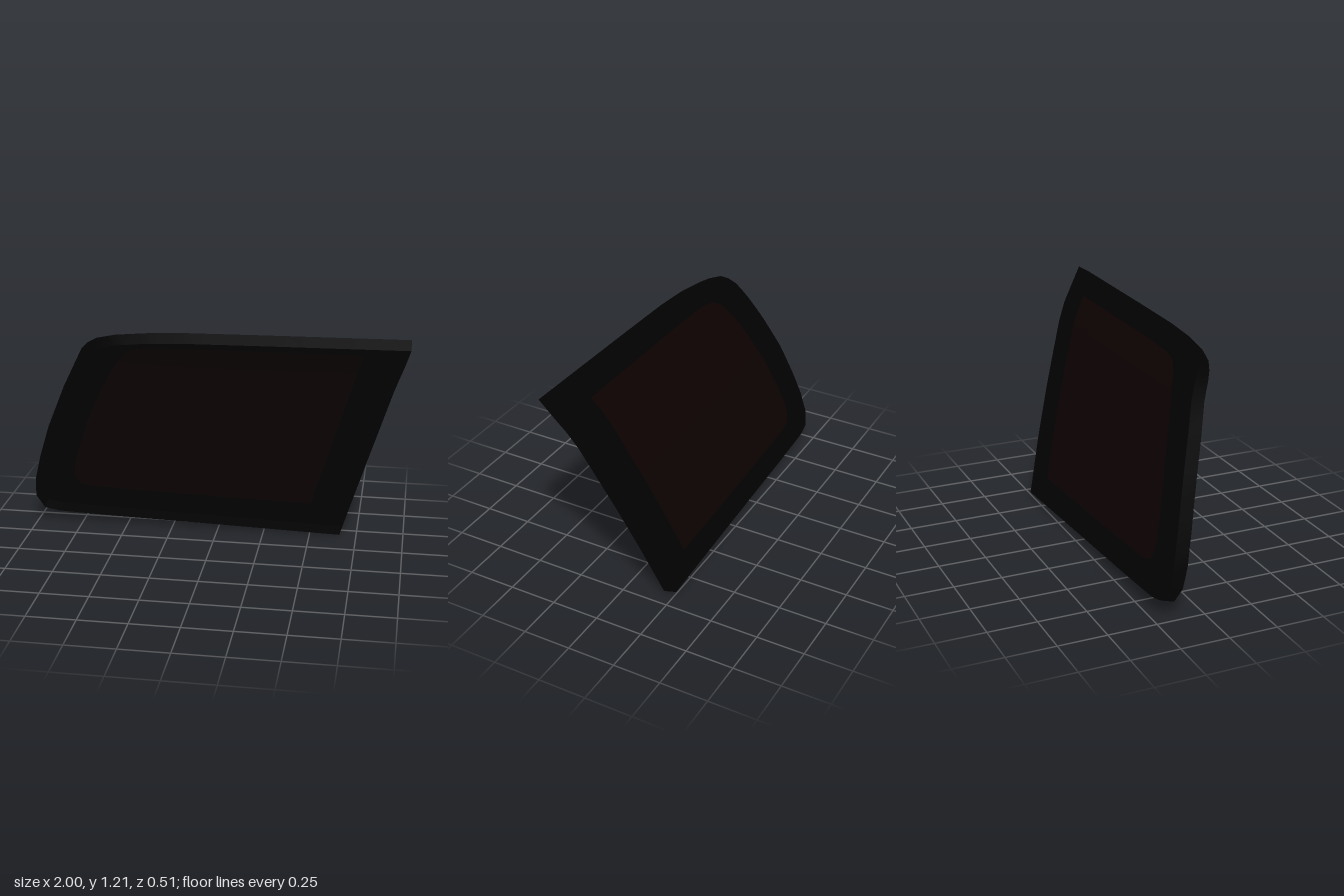
import * as THREE from 'three';
import { toCreasedNormals } from 'three/addons/utils/BufferGeometryUtils.js';

// Side profile of the panel sheet: [y, z]
const PROFILE = [
  [0.024, -0.256], [0.333, -0.166], [0.596, -0.082], [0.8, -0.011],
  [0.97, 0.05], [1.06, 0.095], [1.165, 0.165], [1.215, 0.195],
];

// Paired corners: [outer x, outer y, glass x, glass y]
const PAIRS = [
  [0.66, 0.025, 0.5, 0.165], [0, 0.05, 0, 0.18], [-0.6, 0.071, -0.5, 0.197],
  [-0.88, 0.084, -0.71, 0.207], [-0.96, 0.102, -0.765, 0.222], [-1, 0.18, -0.79, 0.267],
  [-0.99, 0.291, -0.785, 0.337], [-0.95, 0.432, -0.755, 0.437], [-0.88, 0.633, -0.69, 0.617],
  [-0.79, 0.833, -0.605, 0.797], [-0.71, 0.985, -0.53, 0.937], [-0.66, 1.077, -0.48, 1.012],
  [-0.62, 1.118, -0.445, 1.05], [-0.57, 1.148, -0.4, 1.078], [-0.47, 1.173, -0.33, 1.092],
  [-0.3, 1.191, -0.22, 1.097], [-0.1, 1.201, -0.08, 1.1], [0.3, 1.207, 0.25, 1.102],
  [1, 1.215, 0.77, 1.105],
];

const RIM_DEPTH = 0.073;
const CENTRE = [0, 0.64];
const { lerp, clamp } = THREE.MathUtils;

function profileZ(y) {
  let i = 0;
  while (i < PROFILE.length - 2 && y > PROFILE[i + 1][0]) i++;
  const [y0, z0] = PROFILE[i], [y1, z1] = PROFILE[i + 1];
  return z0 + (z1 - z0) * (y - y0) / (y1 - y0);
}

// Point on the bent sheet, moved d forward along its normal
function onPanel(x, y, d) {
  const slope = (profileZ(y + 0.03) - profileZ(y - 0.03)) / 0.06;
  const n = Math.hypot(1, slope);
  const twist = 0.02 * (0.66 - x) / 1.6 * clamp((0.65 - y) / 0.4, 0, 1);
  return [x, y - d * slope / n, profileZ(y) + twist + d / n];
}

// Closed strips between successive rings of equal length
function loft(rings) {
  const n = rings[0].length, index = [];
  for (let r = 0; r < rings.length - 1; r++) {
    for (let i = 0; i < n; i++) {
      const j = (i + 1) % n;
      const a = r * n + i, b = r * n + j, c = a + n, d = b + n;
      index.push(a, d, b, a, c, d);
    }
  }
  const geo = new THREE.BufferGeometry();
  geo.setAttribute('position', new THREE.Float32BufferAttribute(rings.flat(2), 3));
  geo.setIndex(index);
  return toCreasedNormals(geo, 0.5);
}

export function createModel() {
  // Refine long spans so they follow the bend
  const pts = [];
  PAIRS.forEach((p, i) => {
    const q = PAIRS[(i + 1) % PAIRS.length];
    const steps = Math.ceil(Math.hypot(q[0] - p[0], q[1] - p[1]) / 0.1);
    for (let s = 0; s < steps; s++) pts.push(p.map((v, k) => lerp(v, q[k], s / steps)));
  });

  const rimRing = (d) => pts.map(([x, y]) => onPanel(x, y, d));
  // t = 0 at the glass, 1 at the outer edge
  const frameRing = (t) => pts.map(([x, y, gx, gy]) => onPanel(lerp(gx, x, t), lerp(gy, y, t), 0));
  // t = 0 near the centre, 1 at the frame
  const glassRing = (t) => pts.map(([, , gx, gy]) =>
    onPanel(lerp(CENTRE[0], gx, t), lerp(CENTRE[1], gy, t), 0));

  const group = new THREE.Group();
  group.name = 'quarterWindow';
  const add = (name, rings, color) => {
    const material = new THREE.MeshStandardMaterial({ color, side: THREE.DoubleSide });
    const mesh = new THREE.Mesh(loft(rings), material);
    mesh.name = name;
    group.add(mesh);
  };

  // Flat border around the pane
  add('frame', [0, 0.33, 0.67, 1].map(frameRing), 0x010101);
  // Open rim standing forward from the border
  add('rim', [rimRing(0), rimRing(RIM_DEPTH)], 0x010101);
  // Tinted pane, a single sheet
  add('glass', Array.from({ length: 11 }, (_, i) => glassRing(Math.max(i / 10, 0.001))), 0x0d0101);
  return group;
}
